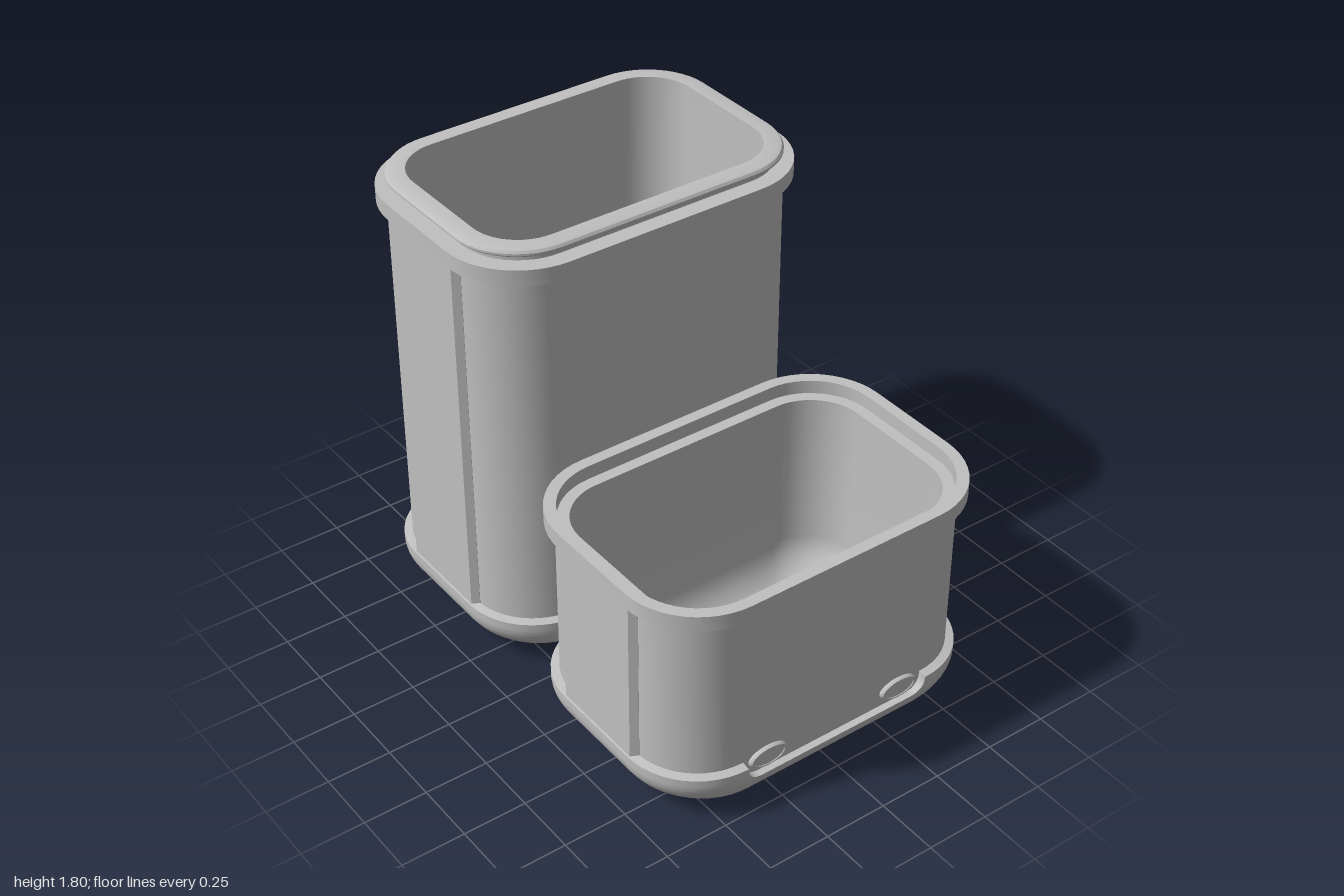
import * as THREE from 'three';
import { toCreasedNormals } from 'three/addons/utils/BufferGeometryUtils.js';

const CORE_X = 0.405, CORE_Z = 0.1925; // corner centres shared by all wall outlines
const SEG = 12;

// ring described by an offset from the core rectangle
const off = (r, y) => ({ hx: CORE_X + r, hz: CORE_Z + r, r, y });

// rounded rectangle outline, with an optional recess on the front and back edges
function outline({ hx, hz, r, y, notchW, notchZ }) {
  const pts = [];
  const cx = hx - r, cz = hz - r;
  const w = notchW ?? Math.min(0.34, cx * 0.9);
  const d = notchZ ?? hz;
  const corner = (sx, sz, start) => {
    for (let i = 0; i <= SEG; i++) {
      const a = start + (i / SEG) * Math.PI / 2;
      pts.push([sx * cx + r * Math.cos(a), y, sz * cz + r * Math.sin(a)]);
    }
  };
  corner(1, 1, 0);
  pts.push([w, y, hz], [w, y, d], [-w, y, d], [-w, y, hz]);
  corner(-1, 1, Math.PI / 2);
  corner(-1, -1, Math.PI);
  pts.push([-w, y, -hz], [-w, y, -d], [w, y, -d], [w, y, -hz]);
  corner(1, -1, Math.PI * 1.5);
  return pts;
}

// skin stretched over a list of rings
function loft(rings, { capStart = false, capEnd = false } = {}) {
  const pos = [], idx = [];
  const n = outline(rings[0]).length;
  rings.forEach(ring => outline(ring).forEach(p => pos.push(...p)));
  for (let i = 0; i < rings.length - 1; i++) {
    for (let j = 0; j < n; j++) {
      const a = i * n + j, b = i * n + (j + 1) % n;
      idx.push(a, a + n, b + n, a, b + n, b);
    }
  }
  const cap = (row, flip) => {
    const c = pos.length / 3;
    pos.push(0, rings[row].y, 0);
    for (let j = 0; j < n; j++) {
      const a = row * n + j, b = row * n + (j + 1) % n;
      if (flip) idx.push(c, b, a); else idx.push(c, a, b);
    }
  };
  if (capStart) cap(0, false);
  if (capEnd) cap(rings.length - 1, true);
  const g = new THREE.BufferGeometry();
  g.setAttribute('position', new THREE.Float32BufferAttribute(pos, 3));
  g.setIndex(idx);
  return toCreasedNormals(g, 0.5);
}

// bowl-shaped rings from a flat bottom up to a vertical wall
function bowl(bottom, top, y0, height, steps = 10) {
  const rings = [];
  for (let i = 0; i <= steps; i++) {
    const a = (i / steps) * Math.PI / 2, s = Math.sin(a);
    const mix = k => bottom[k] + (top[k] - bottom[k]) * s;
    rings.push({ hx: mix('hx'), hz: mix('hz'), r: mix('r'), y: y0 + height * (1 - Math.cos(a)) });
  }
  return rings;
}

// rounded foot with a recess at the front and back
function baseGeometry() {
  const bottom = { hx: 0.4, hz: 0.3, r: 0.15 }, full = off(0.295, 0);
  const rings = bowl(bottom, full, 0, 0.18);
  const at = y => {
    const s = y >= 0.18 ? 1 : Math.sqrt(1 - (1 - y / 0.18) ** 2);
    const mix = k => bottom[k] + (full[k] - bottom[k]) * s;
    return { hx: mix('hx'), hz: mix('hz'), r: mix('r'), y };
  };
  const lower = rings.filter(q => q.y < 0.135);
  const upper = [0.14, 0.145, 0.152, 0.16, 0.17, 0.18, 0.205].map(y => ({
    ...at(y),
    notchW: 0.34 + 0.06 * Math.sqrt(1 - Math.max(0, (0.2 - y) / 0.06) ** 2 + 1e-9),
    notchZ: 0.445,
  }));
  const shoulder = { ...off(0.26, 0.212), notchW: 0.4, notchZ: 0.445 };
  return loft([...lower, at(0.14), ...upper, shoulder], { capStart: true });
}

function createBin(name, rimY, innerR, mouth, material) {
  const bin = new THREE.Group();
  bin.name = name;
  const add = (geometry, label) => {
    const m = new THREE.Mesh(geometry, material);
    m.name = label;
    bin.add(m);
    return m;
  };

  add(baseGeometry(), 'base');

  // outer wall, rim, mouth and hollow inside in one skin
  const inside = bowl({ hx: 0.38, hz: 0.2, r: 0.12 }, off(innerR, 0), 0.05, 0.2).reverse();
  add(loft([
    off(0.2625, 0.12), off(0.2625, rimY - 0.015),
    off(0.3, rimY + 0.003), off(0.3, rimY + 0.065),
    ...mouth.map(([r, y]) => off(r, rimY + y)),
    ...inside,
  ], { capEnd: true }), 'body');

  // raised side panels with bevelled edges
  const shape = new THREE.Shape([
    [0.64, -0.215], [0.667, -0.215], [0.693, -0.195],
    [0.693, 0.195], [0.667, 0.215], [0.64, 0.215],
  ].map(p => new THREE.Vector2(...p)));
  const panel = new THREE.ExtrudeGeometry(shape, { depth: rimY - 0.2, bevelEnabled: false });
  panel.rotateX(-Math.PI / 2).translate(0, 0.2, 0);
  add(panel, 'leftPanel');
  add(panel, 'rightPanel').rotation.y = Math.PI;

  // oval buttons in the base recesses
  const profile = [[0.082, -0.01], [0.082, 0.008], [0.076, 0.016], [0.068, 0.016], [0.064, 0.013], [0, 0.013]];
  const button = toCreasedNormals(
    new THREE.LatheGeometry(profile.map(p => new THREE.Vector2(...p)), 32), 0.4);
  button.rotateX(Math.PI / 2).scale(1, 0.5, 1);
  for (const side of [1, -1]) {
    for (const x of [-0.295, 0.295]) {
      const b = add(button, side > 0 ? 'frontButton' : 'backButton');
      b.position.set(x, 0.195, side * 0.455);
      if (side < 0) b.rotation.y = Math.PI;
    }
  }
  return bin;
}

export function createModel() {
  const grey = new THREE.MeshStandardMaterial({ color: 0xc0c0c0 });
  grey.name = 'grey';
  const model = new THREE.Group();
  model.name = 'stackingBins';

  // short bin with a stepped mouth
  const short = createBin('shortBin', 0.875, 0.21, [
    [0.255, 0.065], [0.255, 0.01], [0.21, 0.01],
  ], grey);
  short.position.z = 0.5075;

  // tall bin with a neck and rounded lip
  const tall = createBin('tallBin', 1.68, 0.19, [
    [0.235, 0.065], [0.235, 0.09], [0.255, 0.09], [0.262, 0.097],
    [0.262, 0.105], [0.255, 0.114], [0.245, 0.117], [0.19, 0.117],
  ], grey);
  tall.position.z = -0.5075;

  model.add(short, tall);
  return model;
}
